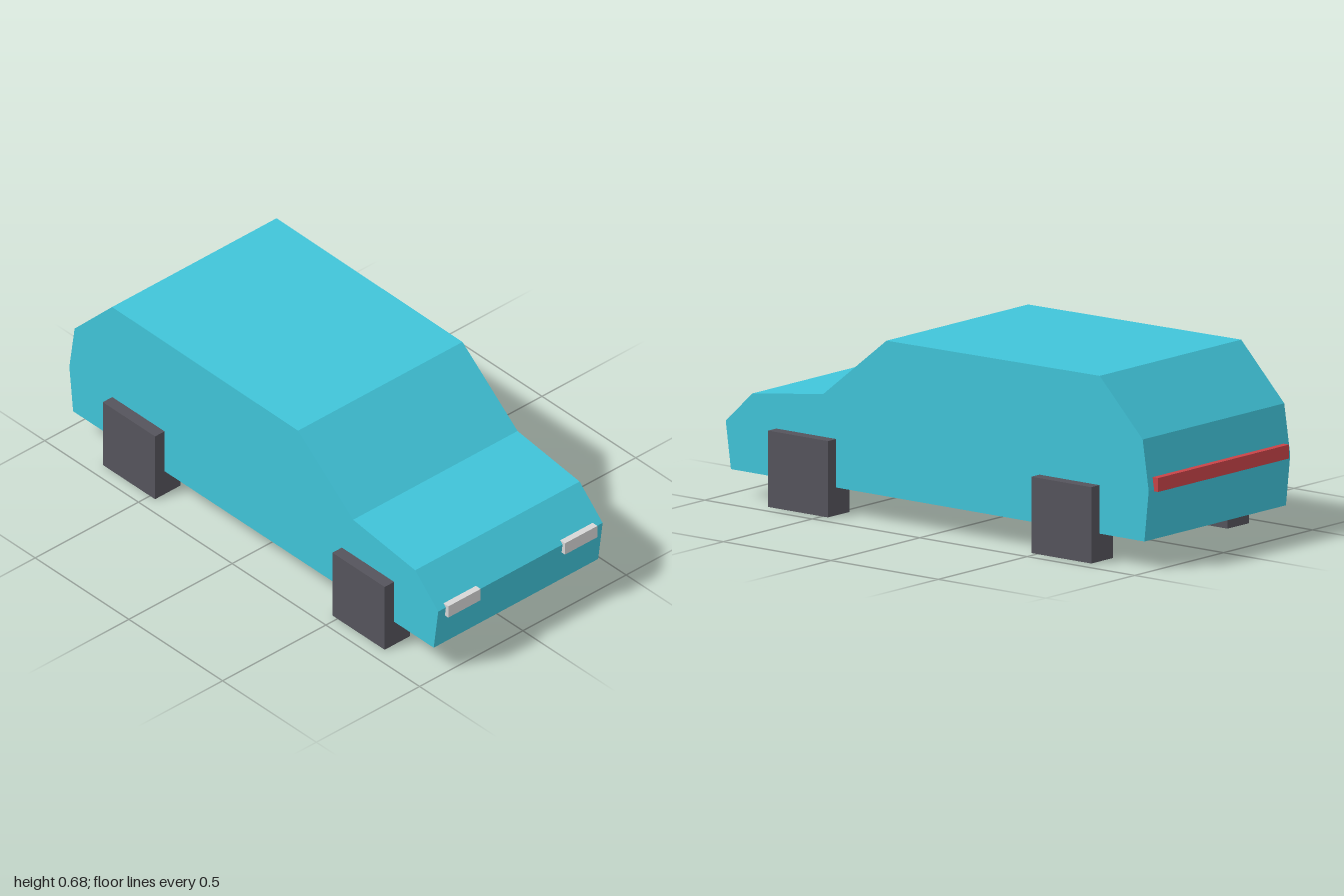
import * as THREE from 'three';

const paint = (name, color) => {
  const m = new THREE.MeshStandardMaterial({ color });
  m.name = name;
  return m;
};

export function createModel() {
  const car = new THREE.Group();
  car.name = 'car';
  const teal = paint('teal paint', 0x40c4d9);
  const rubber = paint('dark rubber', 0x55545c);
  const lamp = paint('light grey lamp', 0xd6d6d6);
  const red = paint('red lamp', 0xc84448);

  // Box from its lower and upper corners
  const box = (name, material, [x0, y0, z0], [x1, y1, z1]) => {
    const mesh = new THREE.Mesh(new THREE.BoxGeometry(x1 - x0, y1 - y0, z1 - z0), material);
    mesh.position.set((x0 + x1) / 2, (y0 + y1) / 2, (z0 + z1) / 2);
    mesh.name = name;
    car.add(mesh);
  };

  // Body: side profile (z, y) extruded across the width
  const halfWidth = 0.398;
  const profile = [
    [-0.961, 0.102], [0.963, 0.102], [0.987, 0.276], [0.864, 0.393], [0.533, 0.437],
    [0.239, 0.673], [-0.753, 0.681], [-0.953, 0.475], [-0.981, 0.29],
  ].map(([z, y]) => new THREE.Vector2(z, y));
  const shell = new THREE.ExtrudeGeometry(new THREE.Shape(profile), { depth: halfWidth * 2, bevelEnabled: false });
  shell.translate(0, 0, -halfWidth).rotateY(-Math.PI / 2);
  const body = new THREE.Mesh(shell, teal);
  body.name = 'body';
  car.add(body);

  // Block wheels and headlights, mirrored left and right
  for (const [side, s] of [['left', 1], ['right', -1]]) {
    const span = (a, b) => (s > 0 ? [a, b] : [-b, -a]);
    const [w0, w1] = span(0.322, 0.444);
    box(side + 'FrontWheel', rubber, [w0, 0, 0.473], [w1, 0.28, 0.752]);
    box(side + 'RearWheel', rubber, [w0, 0, -0.752], [w1, 0.28, -0.473]);
    const [h0, h1] = span(0.204, 0.361);
    box(side + 'Headlight', lamp, [h0, 0.238, 0.973], [h1, 0.288, 1]);
  }

  // Full-width tail light bar
  box('tailLight', red, [-0.368, 0.284, -1], [0.368, 0.335, -0.972]);

  return car;
}
